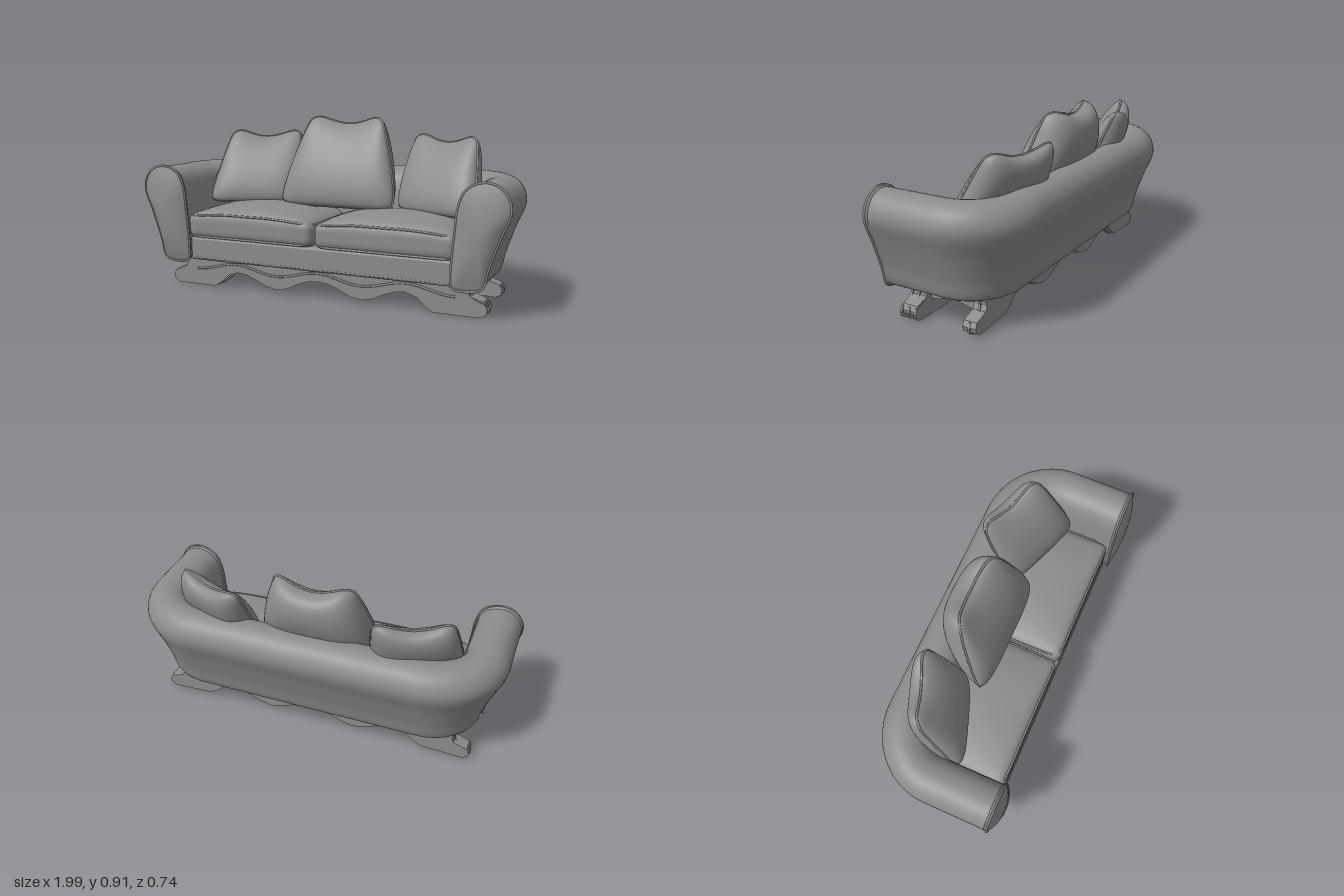
import * as THREE from 'three';
import { mergeVertices } from 'three/addons/utils/BufferGeometryUtils.js';
import { RoundedBoxGeometry } from 'three/addons/geometries/RoundedBoxGeometry.js';

const V = (x, y, z) => new THREE.Vector3(x, y, z);
const fabric = new THREE.MeshStandardMaterial({ color: 0x8c8c8c });

function add(group, name, geometry) {
  const mesh = new THREE.Mesh(geometry, fabric);
  mesh.name = name;
  group.add(mesh);
}

// Skin over rows of points; every row is a closed ring
function loft(rows, flip = false) {
  const n = rows[0].length, index = [];
  for (let i = 0; i < rows.length - 1; i++) for (let j = 0; j < n; j++) {
    const a = i * n + j, b = a + n, c = i * n + (j + 1) % n, d = c + n;
    if (flip) index.push(a, c, b, b, c, d);
    else index.push(a, b, c, b, d, c);
  }
  const g = new THREE.BufferGeometry().setFromPoints(rows.flat());
  g.setIndex(index);
  g.computeVertexNormals();
  return g;
}

const piping = (points, r = 0.006, closed = true) => new THREE.TubeGeometry(
  new THREE.CatmullRomCurve3(points, closed), points.length * 2, r, 6, closed);

function smooth(g) {
  g.deleteAttribute('uv');
  g.deleteAttribute('normal');
  const m = mergeVertices(g, 1e-4);
  m.computeVertexNormals();
  return m;
}

// Cross-section of arm and back: inset from the outer edge, height
const section = new THREE.CatmullRomCurve3([
  [0.165, 0.15], [0.12, 0.167], [0.093, 0.26], [0.045, 0.4], [0.002, 0.51], [0.01, 0.57],
  [0.045, 0.618], [0.1, 0.64], [0.16, 0.632], [0.21, 0.597], [0.237, 0.53],
  [0.25, 0.42], [0.265, 0.22], [0.26, 0.16], [0.24, 0.15],
].map(([d, y]) => V(d, y, 0)), true).getPoints(48).slice(0, 48);

function shell() {
  // Each station: centre x, centre z, and direction of the outer edge
  const half = [[0.6, 0.32, 0], [0.6, 0.16, 0]];
  for (let i = 0; i <= 20; i++) half.push([0.6, 0, i / 20 * Math.PI / 2]);
  half.push([0.3, 0, Math.PI / 2]);
  const mirrored = half.map(([x, z, a]) => [-x, z, Math.PI - a]).reverse();
  return loft([...half, ...mirrored].map(([x, z, a]) => section.map(p =>
    V(x + (0.385 - p.x) * Math.cos(a), p.y, z - (0.37 - p.x) * Math.sin(a)))));
}

// Domed panel closing the front of an arm
function armFront(side) {
  const ring = (s, z) => section.map(p =>
    V(side * (0.855 + (0.13 - p.x) * s), 0.405 + (p.y - 0.405) * s, z));
  const rows = [[0.96, 0.312], [1.03, 0.318], [1.035, 0.325], [1.02, 0.334], [0.97, 0.337], [0.85, 0.346],
    [0.65, 0.357], [0.4, 0.365], [0.2, 0.368], [0.001, 0.369]].map(([s, z]) => ring(s, z));
  return { panel: loft(rows, side > 0), welt: piping(ring(1.03, 0.332), 0.006) };
}

// Seat cushion: a box with rounded edges, a crowned top and drooping ends
const seat = { w: 0.735, h: 0.15, d: 0.52, r: 0.045 };
const droop = x => -0.025 * (2 * x / seat.w) ** 4;
const crown = (x, z) => 0.035 * (1 - (2 * x / seat.w) ** 2) * (1 - (2 * z / seat.d) ** 2) + droop(x);
function seatCushion() {
  const { w, h, d, r } = seat;
  const g = new THREE.BoxGeometry(w, h, d, 36, 10, 30);
  const p = g.attributes.position, v = V(), inner = V();
  const lim = V(w / 2 - r, h / 2 - r, d / 2 - r), neg = lim.clone().negate();
  for (let i = 0; i < p.count; i++) {
    v.fromBufferAttribute(p, i);
    inner.copy(v).clamp(neg, lim);
    v.sub(inner);
    if (v.length() > 0) v.setLength(Math.min(r, Math.max(Math.abs(v.x), Math.abs(v.y), Math.abs(v.z))));
    v.add(inner);
    if (v.y > 0) v.y += crown(v.x, v.z) * v.y / (h / 2);
    p.setXYZ(i, v.x, v.y, v.z);
  }
  return smooth(g);
}
function seatWelt(y, drop) {
  const pts = [], r = 0.06;
  const line = (sx, sz, a) => {
    const x = sx * (seat.w / 2 - r - 0.008) + r * Math.cos(a);
    pts.push(V(x, y + drop * droop(x), sz * (seat.d / 2 - r - 0.008) + r * Math.sin(a)));
  };
  for (let c = 0; c < 4; c++) {
    const sx = c === 0 || c === 3 ? 1 : -1, sz = c < 2 ? 1 : -1;
    for (let k = 0; k <= 4; k++) line(sx, sz, (c + k / 4) * Math.PI / 2);
    // Extra points along the long sides follow the droop
    if (c % 2 === 0) for (const f of [0.5, 0, -0.5]) line(sx * f, sz, (c + 1) * Math.PI / 2);
  }
  return piping(pts, 0.006);
}

// Back pillow: tapered, eared at the top, leaning back, its top edge bowed
function pillowPoint(o, u, v, side) {
  const t = (v + 1) / 2;
  const width = (o.bottom + (o.top - o.bottom) * (0.45 * t + 0.55 * t * t)) * (1 - 0.04 * v ** 8);
  const y = o.height * t + o.ear * (u * u - 0.8 * u ** 6) * Math.max(0, v) ** 3
    + 0.02 * Math.max(0, -v) * u ** 10;
  const puff = Math.pow(Math.max(0, (1 - u ** 4) * (1 - v * v)), 0.42);
  const bow = o.bow * (1 - u * u) * t * t;
  return V(width * u + o.skew * y, y, -o.lean * y - bow + side * puff * (side > 0 ? o.front : o.back));
}
function pillow(o) {
  const group = new THREE.Group();
  const S = s => Math.sin(s * Math.PI / 2);
  for (const side of [1, -1]) {
    const g = new THREE.PlaneGeometry(2, 2, 28, 28), p = g.attributes.position;
    for (let i = 0; i < p.count; i++) {
      const q = pillowPoint(o, side * S(p.getX(i)), S(p.getY(i)), side);
      p.setXYZ(i, q.x, q.y, q.z);
    }
    add(group, side > 0 ? 'pillowFront' : 'pillowBack', smooth(g));
  }
  const edge = [], n = 14;
  for (const [u, v, du, dv] of [[-1, -1, 1, 0], [1, -1, 0, 1], [1, 1, -1, 0], [-1, 1, 0, -1]])
    for (let k = 0; k < n; k++)
      edge.push(pillowPoint(o, u + du * 2 * k / n, v + dv * 2 * k / n, 1));
  add(group, 'pillowWelt', piping(edge, 0.006));
  return group;
}

// Scalloped foot rail, extruded between two depths
function rail(z0, z1, lift) {
  const half = [[0, 0.085], [0.06, 0.079], [0.12, 0.056], [0.18, 0.028], [0.24, 0.018], [0.3, 0.03], [0.36, 0.058],
    [0.42, 0.08], [0.47, 0.085], [0.53, 0.064], [0.57, 0.025], [0.61, 0], [0.84, 0], [0.868, 0.015],
    [0.875, 0.04], [0.862, 0.066], [0.82, 0.08], [0.79, 0.1], [0.78, 0.125], [0.785, 0.149]]
    .map(([x, y]) => [x > 0.7 ? x - lift * 0.5 : x, y < 0.1 ? y + lift * (x < 0.8 ? 1 : 0.5) : y]);
  const all = [...half, ...half.slice(1).reverse().map(([x, y]) => [-x, y])];
  const g = new THREE.ExtrudeGeometry(new THREE.Shape(all.map(([x, y]) => new THREE.Vector2(x, y))),
    { depth: z1 - z0, bevelEnabled: false });
  return g.translate(0, 0, z0);
}

export function createModel() {
  const model = new THREE.Group();
  model.name = 'sofa';
  add(model, 'armsAndBack', shell());
  add(model, 'seatBase', new RoundedBoxGeometry(1.45, 0.122, 0.46, 3, 0.012).translate(0, 0.209, 0.077));
  add(model, 'baseWelt', piping([V(-0.72, 0.16, 0.303), V(0, 0.16, 0.303), V(0.72, 0.16, 0.303)], 0.006, false));

  for (const side of [1, -1]) {
    const arm = armFront(side);
    add(model, 'armFront', arm.panel);
    add(model, 'armWelt', arm.welt);

    const cushion = new THREE.Group();
    cushion.name = 'seatCushion';
    add(cushion, 'cushionBody', seatCushion());
    add(cushion, 'cushionWelt', seatWelt(0.062, 1));
    add(cushion, 'cushionWelt', seatWelt(-0.062, 0));
    cushion.position.set(side * 0.373 - 0.008, 0.338, 0.052);
    model.add(cushion);

    const p = pillow({ bottom: 0.24, top: 0.2, height: 0.35, ear: 0.075, lean: 0.47, bow: 0.02,
      skew: -side * 0.17, front: 0.075, back: 0.12 });
    p.name = 'sidePillow';
    p.position.set(side * 0.525, 0.43, -0.01);
    p.rotation.y = -side * 0.36;
    model.add(p);

    // End board joining the two rails, with an arched lower edge
    const s = new THREE.Shape();
    s.moveTo(-0.16, 0.155);
    s.lineTo(-0.16, 0.08);
    s.lineTo(-0.09, 0.08);
    s.bezierCurveTo(-0.03, 0.08, -0.03, 0.102, 0.03, 0.102);
    s.bezierCurveTo(0.1, 0.102, 0.1, 0.08, 0.17, 0.08);
    s.lineTo(0.22, 0.08);
    s.lineTo(0.22, 0.155);
    const board = new THREE.ExtrudeGeometry(s, { depth: 0.03, bevelEnabled: false });
    board.rotateY(-Math.PI / 2).translate(side * 0.735 + 0.015, 0, 0);
    add(model, 'endBoard', board);
  }

  const middle = pillow({ bottom: 0.325, top: 0.215, height: 0.43, ear: 0.08, lean: 0.32, bow: 0.05,
    skew: 0, front: 0.08, back: 0.175 });
  middle.name = 'middlePillow';
  middle.position.set(-0.012, 0.435, 0.005);
  model.add(middle);

  // Foot rails: a recessed core with raised ribs
  add(model, 'frontRail', rail(0.165, 0.25, 0.02));
  for (const z of [0.163, 0.203, 0.243]) add(model, 'frontRailRib', rail(z, z + 0.012, 0));
  add(model, 'backRail', rail(-0.167, -0.095, 0.02));
  add(model, 'backRailRib', rail(-0.136, -0.124, 0.009));

  // Wavy bead on the front rail
  const bead = [];
  for (let i = 0; i <= 48; i++) {
    const x = -0.72 + i * 0.03;
    bead.push(V(x, 0.11 + 0.02 * Math.cos(x * Math.PI * 2 / 0.475), 0.257));
  }
  add(model, 'railBead', piping(bead, 0.006, false));
  return model;
}
